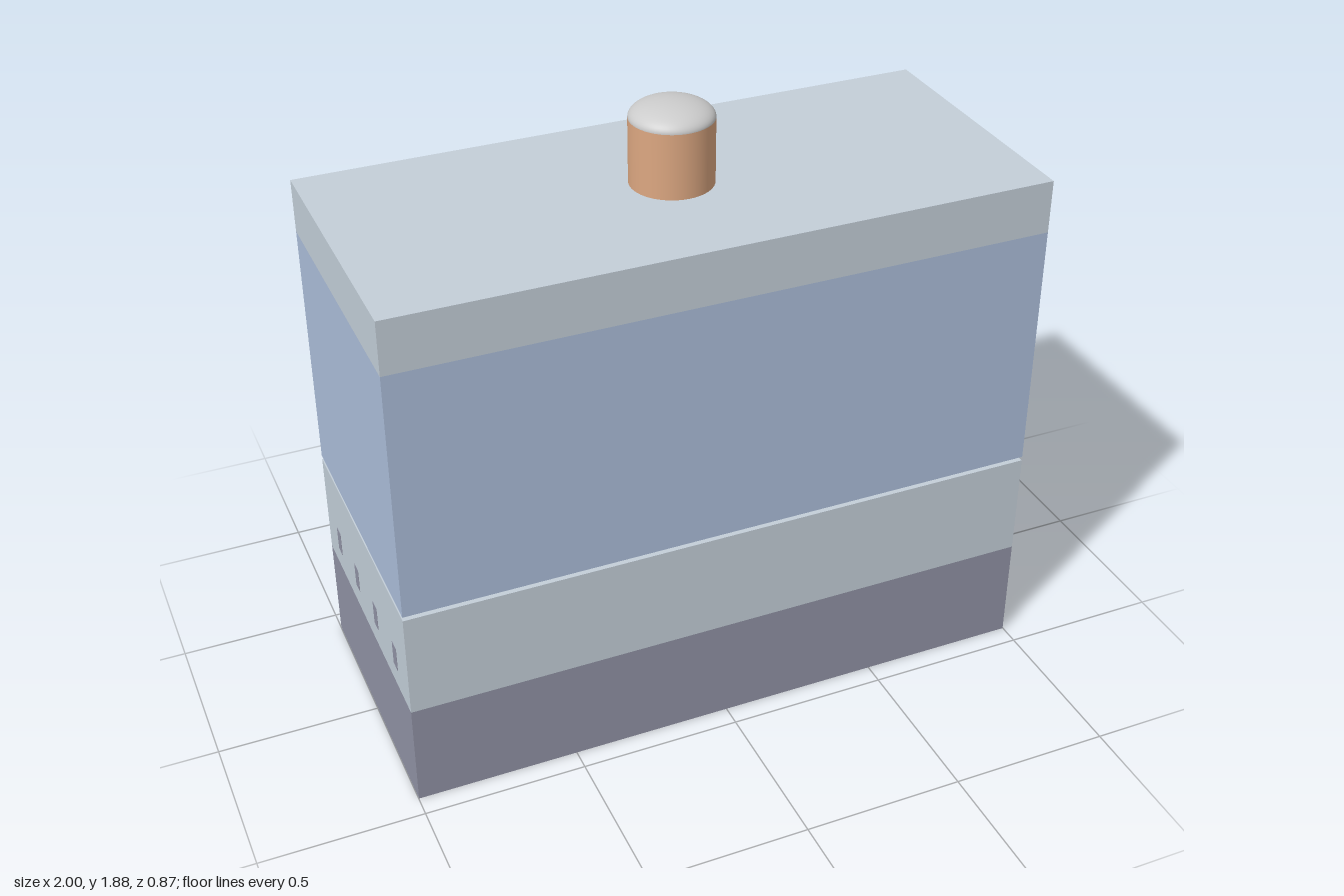
import * as THREE from 'three';

const paint = (color) => new THREE.MeshStandardMaterial({ color });
const pale = paint(0xc3ced8);
const blue = paint(0xabbdd9);
const slate = paint(0x9092a4);
const copper = paint(0xdca781);
const grey = paint(0xcccccc);

export function createModel() {
  const model = new THREE.Group();
  const width = 1.998, depth = 0.866;

  const add = (name, geometry, material, x, y, z) => {
    const mesh = new THREE.Mesh(geometry, material);
    mesh.name = name;
    mesh.position.set(x, y, z);
    model.add(mesh);
    return mesh;
  };
  const band = (name, bottom, top, material) =>
    add(name, new THREE.BoxGeometry(width, top - bottom, depth), material, 0, (bottom + top) / 2, 0);

  // Lower case and upper case, each in two flush bands
  band('lowerBase', 0, 0.335, slate);
  band('lowerBody', 0.335, 0.67, pale);
  band('upperBody', 0.683, 1.47, blue);
  band('upperLid', 1.47, 1.635, pale);

  // Spacer bars holding the two cases apart
  for (const x of [-0.5, -0.167, 0.167, 0.5]) {
    add('spacerBar', new THREE.BoxGeometry(0.058, 0.013, 0.7), slate, x, 0.6765, 0);
  }

  // Vent slots flush with both end faces
  for (const side of [-1, 1]) {
    for (const z of [-0.3, -0.1, 0.1, 0.3]) {
      add('ventSlot', new THREE.BoxGeometry(0.02, 0.08, 0.04), slate, side * 0.99, 0.443, z);
    }
  }

  // Terminal post with a shallow domed cap
  const radius = 0.125;
  add('terminalPost', new THREE.CylinderGeometry(radius, radius, 0.2, 48), copper, 0, 1.735, 0);
  const dome = add('terminalCap',
    new THREE.SphereGeometry(radius, 48, 16, 0, Math.PI * 2, 0, Math.PI / 2), grey, 0, 1.835, 0);
  dome.scale.y = 0.4;

  return model;
}
